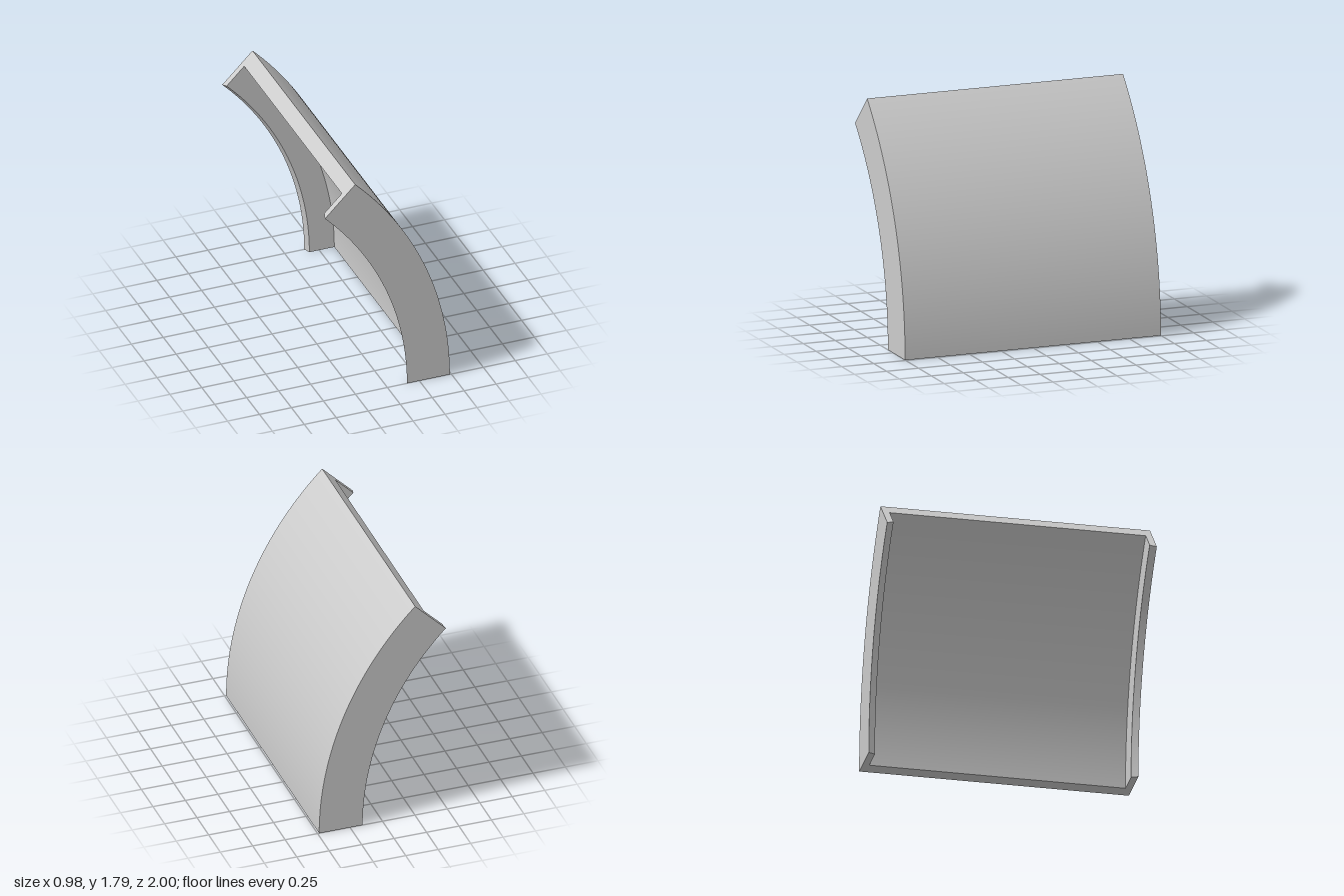
import * as THREE from 'three';
import { toCreasedNormals } from 'three/addons/utils/BufferGeometryUtils.js';

const OUTER = 2.525, WEB = 2.405, TIP = 2.19; // radii of outer skin, inner skin and flange tips
const ARC = Math.PI / 4;
const CENTRE_X = 0.488 - OUTER;

// Channel cross-section as (radius, z), counter-clockwise
const section = [
  [OUTER, -1], [OUTER, 1], [TIP, 1], [TIP + 0.02, 0.95], [WEB, 0.95],
  [WEB, -0.95], [TIP + 0.02, -0.95], [TIP, -1],
].map(([r, z]) => new THREE.Vector2(r, z));

export function createModel() {
  const group = new THREE.Group();
  group.name = 'curvedChannelPanel';
  const material = new THREE.MeshStandardMaterial({ color: 0xcccccc });
  const add = (name, geometry) => {
    const mesh = new THREE.Mesh(geometry, material);
    mesh.name = name;
    group.add(mesh);
  };
  const frame = (x, y, z) => new THREE.Matrix4().makeBasis(x, y, z).setPosition(CENTRE_X, 0, 0);
  const vec = (x, y, z) => new THREE.Vector3(x, y, z);

  // Curved skin with its two side flanges, swept an eighth of a turn about z
  const sweep = new THREE.LatheGeometry([...section, section[0].clone()], 48, 0, ARC);
  sweep.applyMatrix4(frame(vec(0, 1, 0), vec(0, 0, 1), vec(1, 0, 0)));
  add('curvedShell', toCreasedNormals(sweep, Math.PI / 9));

  // Flat ends closing the section at the foot and at the top
  const ends = [['bottomEnd', 0, 1], ['topEnd', ARC, -1]];
  for (const [name, angle, side] of ends) {
    const radial = vec(Math.cos(angle), Math.sin(angle), 0);
    const across = vec(0, 0, side);
    const cap = new THREE.ShapeGeometry(new THREE.Shape(section));
    cap.applyMatrix4(frame(radial, across, radial.clone().cross(across)));
    add(name, cap);
  }
  return group;
}
